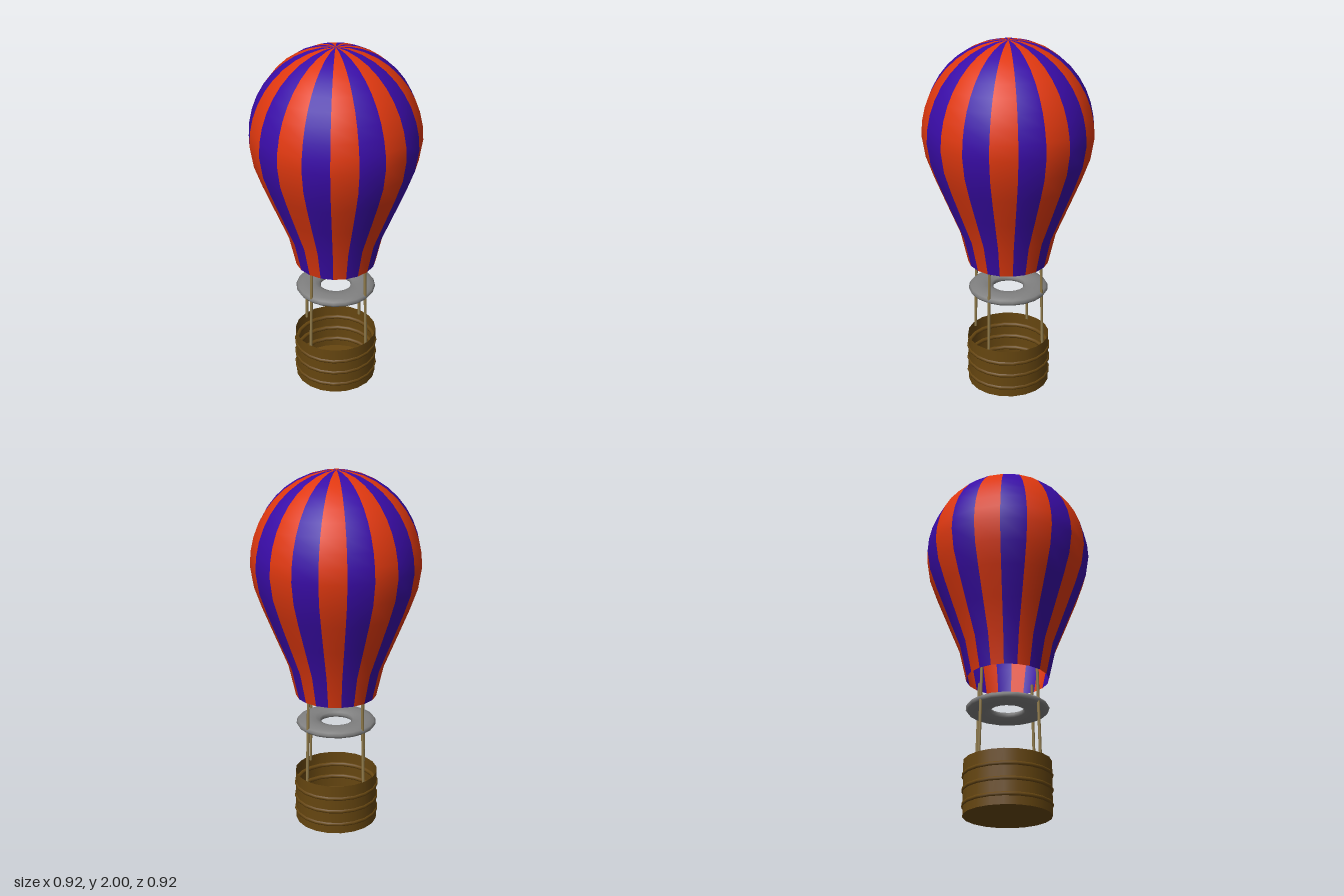
import * as THREE from 'three';

const SIDES = 20;
const mat = (color, side = THREE.FrontSide) =>
  new THREE.MeshStandardMaterial({ color, side, roughness: 0.8 });
const points = (list) => list.map(([r, y]) => new THREE.Vector2(r, y));

function add(parent, name, geometry, material) {
  const mesh = new THREE.Mesh(geometry, material);
  mesh.name = name;
  parent.add(mesh);
  return mesh;
}

// Striped envelope: tapered skirt under a slightly tall dome, one gore per stripe
function createEnvelope() {
  const envelope = new THREE.Group();
  envelope.name = 'envelope';
  const profile = [[0.225, 0.755], [0.265, 0.93], [0.335, 1.1], [0.4, 1.26], [0.443, 1.38]];
  const steps = 10;
  for (let i = 0; i <= steps; i++) {
    const a = (i / steps) * Math.PI / 2;
    profile.push([i === steps ? 0 : 0.462 * Math.cos(a), 1.5 + 0.5 * Math.sin(a)]);
  }
  const red = mat(0xe0380f, THREE.DoubleSide);
  const blue = mat(0x3a0ca8, THREE.DoubleSide);
  const angle = (Math.PI * 2) / SIDES;
  for (let i = 0; i < SIDES; i++) {
    const gore = new THREE.LatheGeometry(points(profile), 1, i * angle, angle);
    add(envelope, i % 2 ? 'blueGore' : 'redGore', gore, i % 2 ? blue : red);
  }
  return envelope;
}

// Open round basket with three woven bands
function createBasket() {
  const basket = new THREE.Group();
  basket.name = 'basket';
  const wicker = mat(0x664610, THREE.DoubleSide);
  const wall = new THREE.CylinderGeometry(0.233, 0.233, 0.29, SIDES, 1, true);
  add(basket, 'basketWall', wall, wicker).position.y = 0.145;
  const floor = new THREE.CircleGeometry(0.233, SIDES).rotateX(Math.PI / 2);
  add(basket, 'basketFloor', floor, wicker);
  for (const y of [0.055, 0.135, 0.213]) {
    const band = new THREE.TorusGeometry(0.2275, 0.0125, 8, SIDES).rotateX(Math.PI / 2);
    add(basket, 'basketBand', band, wicker).position.y = y;
  }
  return basket;
}

// Four ropes leaning slightly inward from the basket rim to the envelope mouth
function createRopes() {
  const ropes = new THREE.Group();
  ropes.name = 'ropes';
  const hemp = mat(0x8f7a4a);
  for (let i = 0; i < 4; i++) {
    const a = (i * Math.PI) / 2;
    const at = (r, y) => new THREE.Vector3(r * Math.sin(a), y, r * Math.cos(a));
    const path = new THREE.LineCurve3(at(0.222, 0.27), at(0.207, 0.79));
    add(ropes, 'rope', new THREE.TubeGeometry(path, 1, 0.008, 8), hemp);
  }
  return ropes;
}

export function createModel() {
  const model = new THREE.Group();
  model.name = 'hotAirBalloon';
  model.add(createEnvelope(), createBasket(), createRopes());

  // Flattened ring threaded by the ropes
  const ring = new THREE.TorusGeometry(0.155, 0.07, 12, SIDES).rotateX(Math.PI / 2).scale(1, 0.4, 1);
  add(model, 'loadRing', ring, mat(0x808080)).position.y = 0.587;
  return model;
}
